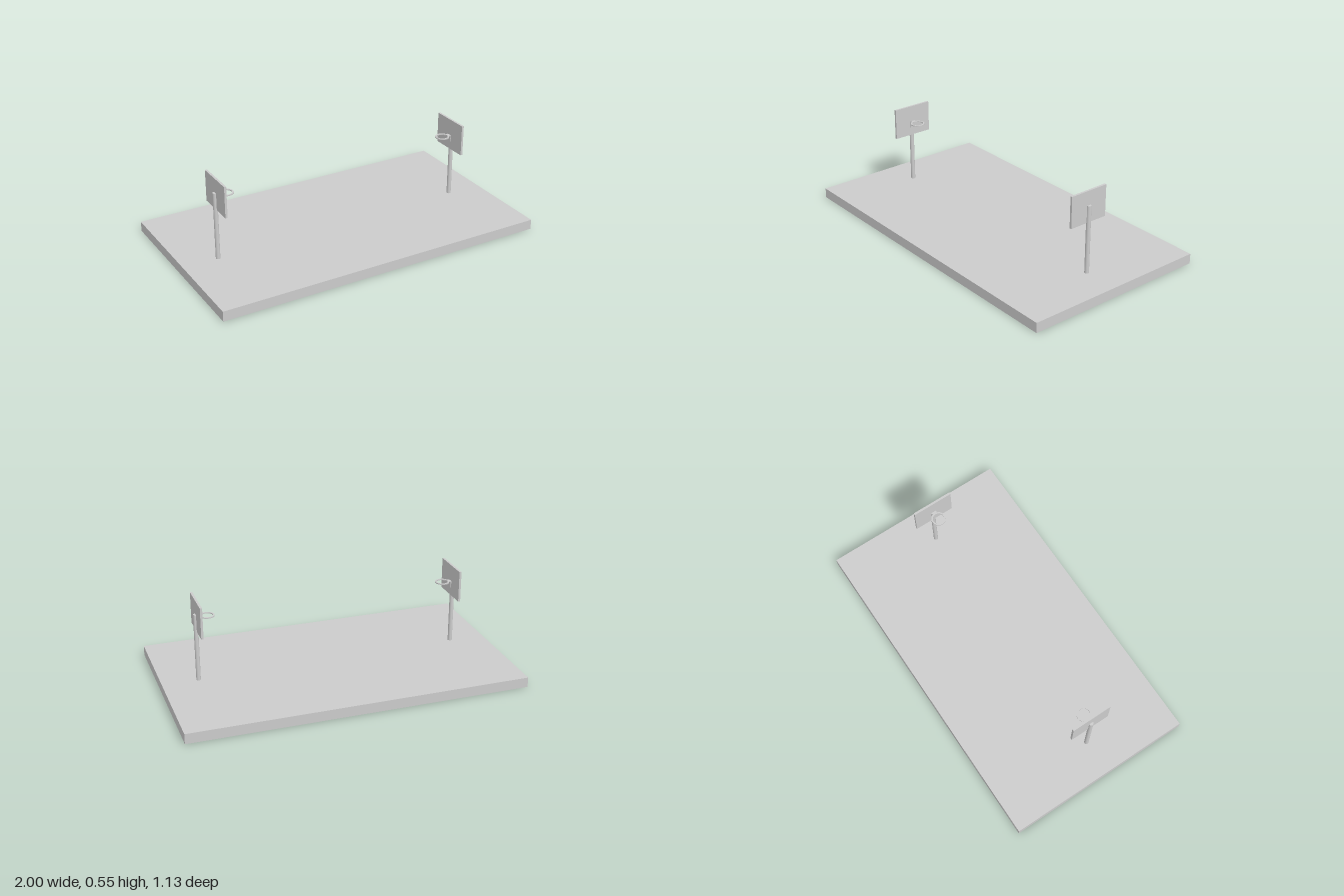
import * as THREE from 'three';

const material = new THREE.MeshStandardMaterial({ color: 0xcccccc });

function part(name, geometry, x, y, z, parent) {
  const mesh = new THREE.Mesh(geometry, material);
  mesh.name = name;
  mesh.position.set(x, y, z);
  parent.add(mesh);
  return mesh;
}

// Flat plate from an outline in plan, lying in the xz plane
function flatPlate(shape, thickness) {
  return new THREE.ExtrudeGeometry(shape, { depth: thickness, bevelEnabled: false, curveSegments: 24 })
    .rotateX(-Math.PI / 2)
    .translate(0, -thickness / 2, 0);
}

// One hoop, built with its backboard facing +x and its rim centred on the origin
function createHoop(name) {
  const hoop = new THREE.Group();
  hoop.name = name;

  // Post and backboard
  part('post', new THREE.CylinderGeometry(0.013, 0.013, 0.41, 24), -0.067, 0.26, 0, hoop);
  part('backboard', new THREE.BoxGeometry(0.013, 0.187, 0.244), -0.059, 0.457, 0, hoop);

  // Rim
  const ring = new THREE.Shape().absarc(0, 0, 0.042, 0, Math.PI * 2, false);
  ring.holes.push(new THREE.Path().absarc(0, 0, 0.033, 0, Math.PI * 2, true));
  part('rim', flatPlate(ring, 0.006), 0, 0.45, 0, hoop);

  // Bracket: a tapered arm to the rim and a plate against the board
  const arm = new THREE.Shape([
    new THREE.Vector2(-0.053, -0.016),
    new THREE.Vector2(-0.036, -0.012),
    new THREE.Vector2(-0.036, 0.012),
    new THREE.Vector2(-0.053, 0.016),
  ]);
  part('rimArm', flatPlate(arm, 0.006), 0, 0.45, 0, hoop);
  part('bracketPlate', new THREE.BoxGeometry(0.005, 0.04, 0.032), -0.051, 0.433, 0, hoop);
  return hoop;
}

export function createModel() {
  const model = new THREE.Group();
  model.name = 'basketballCourt';

  // Court slab
  part('courtSlab', new THREE.BoxGeometry(2, 0.06, 1.13), 0, 0.03, 0, model);

  // Facing hoops, slightly offset from each other
  const rightHoop = createHoop('rightHoop');
  rightHoop.position.set(-0.72, 0, 0.05);
  const leftHoop = createHoop('leftHoop');
  leftHoop.position.set(0.72, 0, 0.024);
  leftHoop.rotation.y = Math.PI;
  model.add(rightHoop, leftHoop);

  return model;
}
